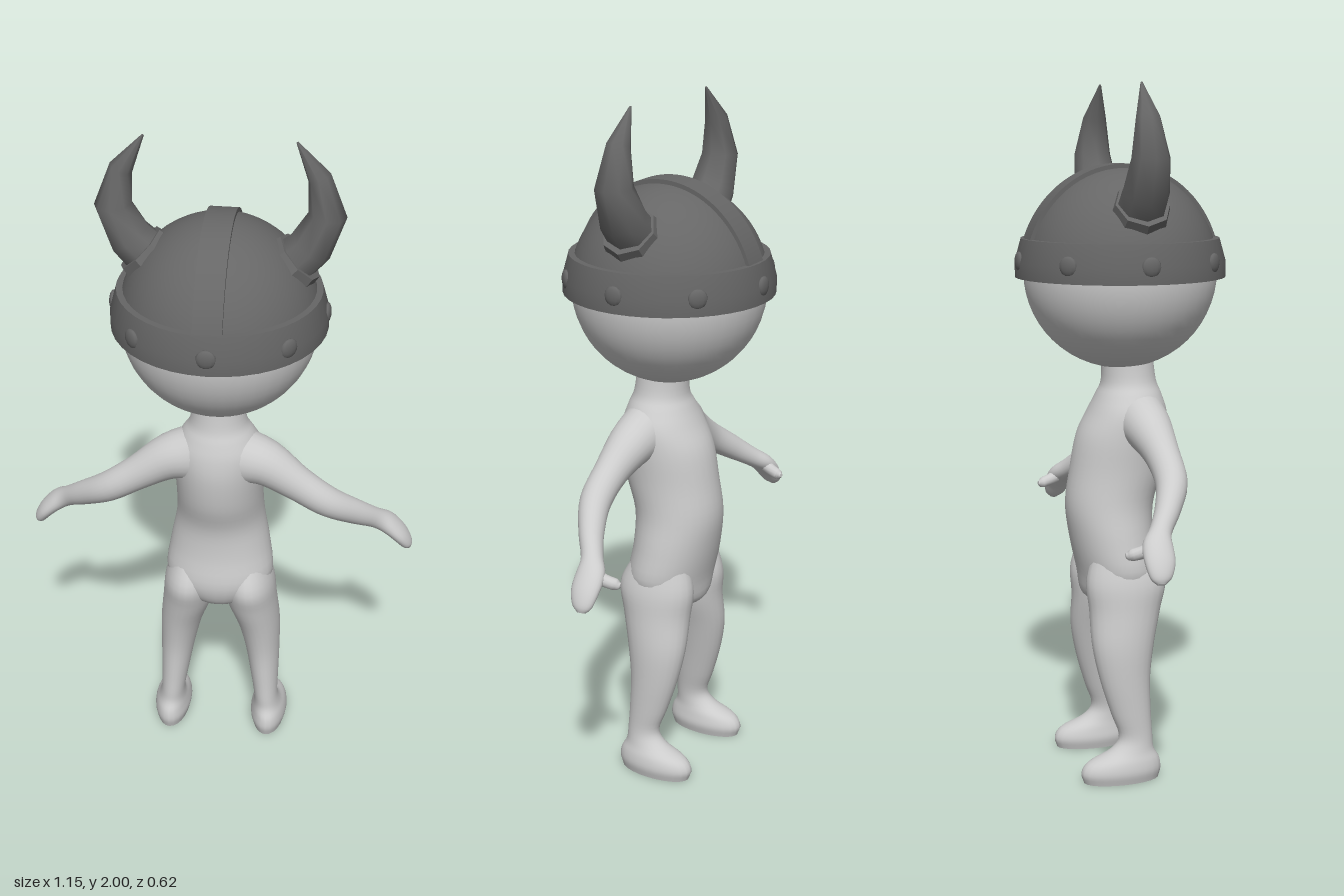
import * as THREE from 'three';
import { toCreasedNormals } from 'three/addons/utils/BufferGeometryUtils.js';

const Z = new THREE.Vector3(0, 0, 1);

// Smooth tube through sections [x, y, z, radius along z, radius across].
// level = true keeps every ring horizontal.
function loft(sections, { sides = 24, steps = 4, level = false } = {}) {
  const path = new THREE.CatmullRomCurve3(sections.map(s => new THREE.Vector3(s[0], s[1], s[2])), false, 'catmullrom');
  const size = new THREE.CatmullRomCurve3(sections.map(s => new THREE.Vector3(s[3], s[4], 0)), false, 'catmullrom');
  const rows = (sections.length - 1) * steps;
  const pos = [], index = [];
  const rings = [];
  for (let i = 0; i <= rows; i++) {
    const c = path.getPoint(i / rows), r = size.getPoint(i / rows);
    const t = level ? new THREE.Vector3(0, 1, 0) : path.getTangent(i / rows);
    const a = Z.clone().addScaledVector(t, -Z.dot(t)).normalize();
    const b = t.clone().cross(a);
    const ring = [];
    for (let j = 0; j < sides; j++) {
      const w = j / sides * Math.PI * 2;
      ring.push(c.clone().addScaledVector(a, Math.cos(w) * r.x).addScaledVector(b, Math.sin(w) * r.y));
    }
    rings.push({ c, ring });
    ring.forEach(p => pos.push(p.x, p.y, p.z));
  }
  for (let i = 0; i < rows; i++) {
    for (let j = 0; j < sides; j++) {
      const k = (j + 1) % sides;
      const p = i * sides + j, q = i * sides + k;
      index.push(p, q, p + sides, q, q + sides, p + sides);
    }
  }
  // End caps with their own vertices, so their rims stay crisp
  for (const [end, flip] of [[rings[0], true], [rings[rows], false]]) {
    const base = pos.length / 3;
    [end.c, ...end.ring].forEach(p => pos.push(p.x, p.y, p.z));
    for (let j = 0; j < sides; j++) {
      const p = base + 1 + j, q = base + 1 + (j + 1) % sides;
      index.push(base, flip ? q : p, flip ? p : q);
    }
  }
  const g = new THREE.BufferGeometry();
  g.setAttribute('position', new THREE.Float32BufferAttribute(pos, 3));
  g.setIndex(index);
  g.computeVertexNormals();
  return g;
}

const mirror = (sections, s) => sections.map(([x, ...rest]) => [x * s, ...rest]);

const TORSO = [
  [0, 0.5, -0.015, 0.05, 0.04], [0, 0.53, -0.015, 0.1, 0.11], [0, 0.6, -0.01, 0.118, 0.16],
  [0, 0.7, -0.028, 0.122, 0.15], [0, 0.8, -0.034, 0.129, 0.132], [0, 0.9, -0.012, 0.138, 0.128],
  [0, 1.0, 0.005, 0.135, 0.132], [0, 1.07, 0.02, 0.115, 0.13], [0, 1.12, 0.025, 0.095, 0.105],
  [0, 1.16, 0.025, 0.08, 0.082], [0, 1.24, 0.02, 0.075, 0.07],
];
const LEG = [
  [0.155, 0, -0.043, 0.112, 0.05], [0.155, 0.03, -0.043, 0.12, 0.057], [0.155, 0.06, -0.035, 0.107, 0.052],
  [0.152, 0.09, -0.01, 0.066, 0.042], [0.148, 0.13, 0.003, 0.05, 0.037], [0.142, 0.2, -0.01, 0.06, 0.043],
  [0.133, 0.3, -0.025, 0.075, 0.053], [0.12, 0.4, -0.027, 0.092, 0.065], [0.098, 0.5, -0.015, 0.106, 0.077],
  [0.09, 0.58, -0.01, 0.118, 0.076], [0.085, 0.66, -0.02, 0.09, 0.055],
];
const ARM = [
  [0.06, 1.05, 0.04, 0.08, 0.085], [0.14, 1.03, 0.045, 0.068, 0.068], [0.23, 0.975, 0.055, 0.05, 0.052],
  [0.32, 0.915, 0.052, 0.045, 0.045], [0.4, 0.86, 0.015, 0.036, 0.038], [0.46, 0.815, -0.025, 0.031, 0.03],
  [0.5, 0.785, -0.045, 0.042, 0.028], [0.535, 0.75, -0.05, 0.042, 0.024], [0.558, 0.715, -0.055, 0.03, 0.018],
  [0.566, 0.698, -0.056, 0.012, 0.008],
];
const THUMB = [
  [0.5, 0.785, -0.05, 0.022, 0.022], [0.49, 0.77, -0.085, 0.018, 0.018],
  [0.481, 0.762, -0.115, 0.016, 0.016], [0.478, 0.762, -0.128, 0.006, 0.006],
];
const HORN = [
  [0.19, 1.65, 0, 0.072, 0.068], [0.245, 1.705, 0, 0.068, 0.062], [0.288, 1.8, 0, 0.055, 0.052],
  [0.263, 1.905, 0, 0.035, 0.032], [0.202, 2.0, 0, 0.003, 0.003],
];

export function createModel() {
  const model = new THREE.Group();
  const skin = new THREE.MeshStandardMaterial({ color: 0xcccccc });
  const metal = new THREE.MeshStandardMaterial({ color: 0x666666 });
  const figure = new THREE.Group(), helmet = new THREE.Group();
  figure.name = 'figure';
  helmet.name = 'helmet';
  model.add(figure, helmet);
  const add = (parent, name, geometry, material) => {
    const m = new THREE.Mesh(geometry, material);
    m.name = name;
    parent.add(m);
    return m;
  };

  // Body and head
  add(figure, 'torso', loft(TORSO, { sides: 32, level: true }), skin);
  add(figure, 'head', new THREE.SphereGeometry(0.278, 40, 28), skin).position.y = 1.475;

  for (const [s, side] of [[1, 'left'], [-1, 'right']]) {
    add(figure, side + 'Leg', loft(mirror(LEG, s), { level: true }), skin);
    add(figure, side + 'Arm', loft(mirror(ARM, s)), skin);
    add(figure, side + 'Thumb', loft(mirror(THUMB, s), { sides: 12, steps: 3 }), skin);

    // Horn with an octagonal collar where it meets the dome
    add(helmet, side + 'Horn', loft(mirror(HORN, s), { sides: 8, steps: 1 }), metal);
    const collar = add(helmet, side + 'HornCollar',
      toCreasedNormals(new THREE.CylinderGeometry(0.078, 0.088, 0.05, 8), 0.6), metal);
    collar.position.set(0.2 * s, 1.655, 0);
    collar.rotation.z = -0.8 * s;
  }

  // Helmet dome
  const dome = add(helmet, 'dome', new THREE.SphereGeometry(1, 40, 16, 0, Math.PI * 2, 0, Math.PI * 0.42), metal);
  dome.scale.set(0.285, 0.31, 0.285);
  dome.position.y = 1.46;

  // Raised strip over the dome from front to back
  const arc = new THREE.Shape();
  arc.absellipse(0, 0, 0.292, 0.319, 0.25, Math.PI - 0.25, false);
  arc.absellipse(0, 0, 0.278, 0.303, Math.PI - 0.25, 0.25, true);
  const stripShape = new THREE.ExtrudeGeometry(arc, { depth: 0.08, bevelEnabled: false, curveSegments: 28 });
  stripShape.translate(0, 1.46, -0.04).rotateY(Math.PI / 2);
  add(helmet, 'strip', toCreasedNormals(stripShape, 0.6), metal);

  // Hollow brow band
  const rim = [[0.281, 1.46], [0.302, 1.46], [0.302, 1.505], [0.284, 1.57], [0.26, 1.57], [0.281, 1.46]]
    .map(p => new THREE.Vector2(...p));
  add(helmet, 'band', toCreasedNormals(new THREE.LatheGeometry(rim, 40), 0.5), metal);

  // Studs around the band
  for (let i = 0; i < 8; i++) {
    const w = i * Math.PI / 4;
    const stud = add(helmet, 'stud', new THREE.SphereGeometry(0.028, 12, 8), metal);
    stud.scale.z = 0.4;
    stud.position.set(Math.sin(w) * 0.297, 1.508, Math.cos(w) * 0.297);
    stud.rotation.y = w;
  }
  return model;
}
